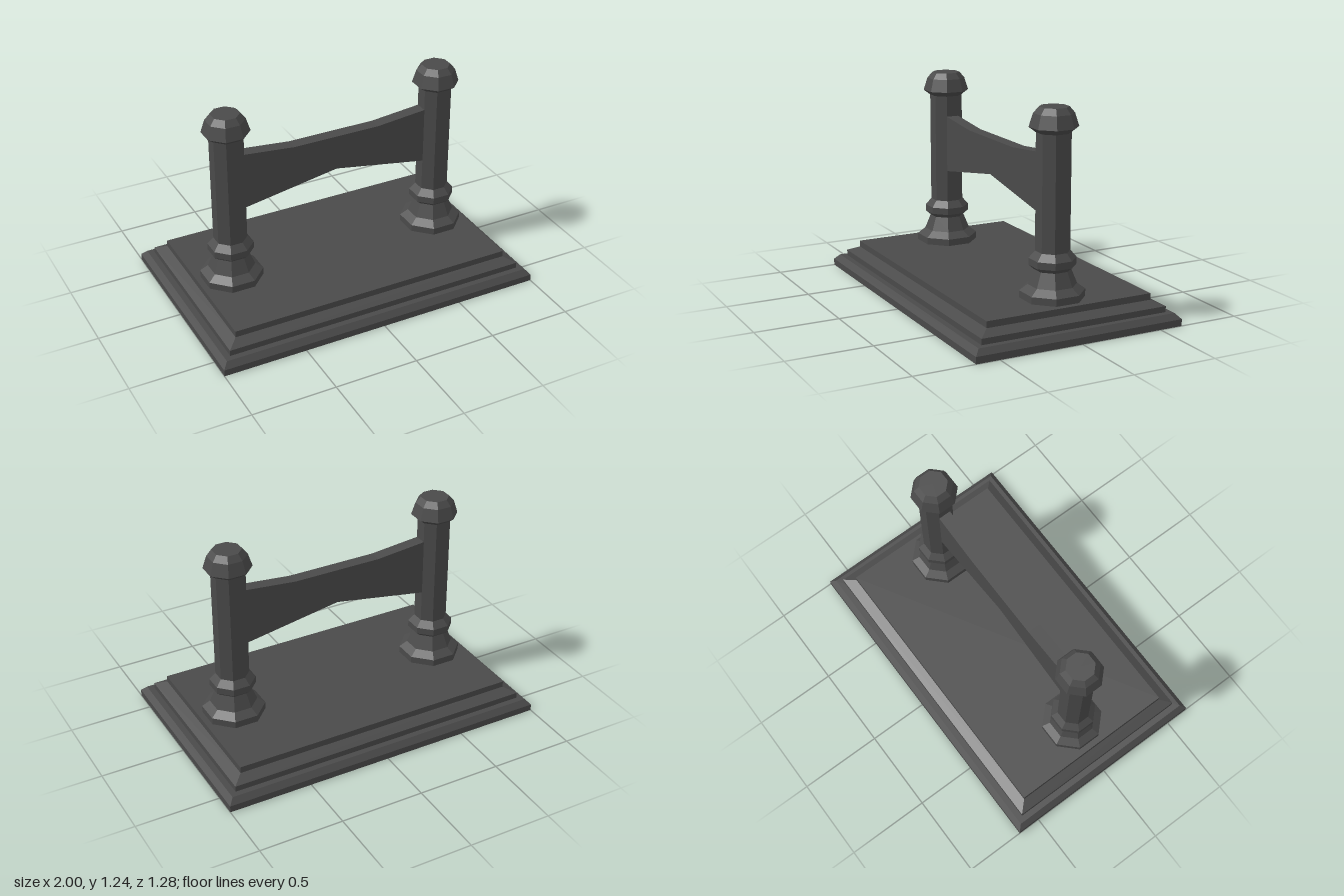
import * as THREE from 'three';

const iron = new THREE.MeshStandardMaterial({ color: 0x4a4a4a });
iron.name = 'dark iron grey';

// Mesh with one hard normal per face
function faceted(name, geometry) {
  const flat = geometry.index ? geometry.toNonIndexed() : geometry;
  flat.computeVertexNormals();
  const mesh = new THREE.Mesh(flat, iron);
  mesh.name = name;
  return mesh;
}

// Octagonal turning; profile holds [half width across flats, y]
function octagonal(name, profile) {
  const k = 1 / Math.cos(Math.PI / 8);
  const points = profile.map(([r, y]) => new THREE.Vector2(r * k, y));
  return faceted(name, new THREE.LatheGeometry(points, 8, Math.PI / 8));
}

// Rectangular slab whose top edge is drawn in by inset on every side
function slab(name, halfX, halfZ, y0, y1, inset = 0) {
  const geometry = new THREE.BoxGeometry(halfX * 2, y1 - y0, halfZ * 2);
  const pos = geometry.attributes.position;
  for (let i = 0; i < pos.count; i++) {
    if (pos.getY(i) < 0) continue;
    pos.setX(i, pos.getX(i) - Math.sign(pos.getX(i)) * inset);
    pos.setZ(i, pos.getZ(i) - Math.sign(pos.getZ(i)) * inset);
  }
  geometry.translate(0, (y0 + y1) / 2, 0);
  return faceted(name, geometry);
}

function createPost(name, x) {
  const post = new THREE.Group();
  post.name = name;
  post.add(
    octagonal('foot', [[0.17, 0.17], [0.17, 0.215], [0.127, 0.25], [0.095, 0.335]]),
    octagonal('collar', [[0.095, 0.335], [0.123, 0.36], [0.123, 0.4], [0.09, 0.44]]),
    octagonal('shaft', [[0.09, 0.44], [0.09, 1.1]]),
    octagonal('cap', [[0.09, 1.1], [0.127, 1.13], [0.105, 1.205], [0.077, 1.24], [0, 1.24]])
  );
  post.position.x = x;
  return post;
}

export function createModel() {
  const model = new THREE.Group();
  model.name = 'postStand';

  // Stepped plinth
  model.add(
    slab('plinthLower', 1, 0.64, 0, 0.04),
    slab('plinthLowerBevel', 1, 0.64, 0.04, 0.072, 0.03),
    slab('plinthMiddle', 0.935, 0.575, 0.072, 0.107),
    slab('plinthMiddleBevel', 0.935, 0.575, 0.107, 0.136, 0.062),
    slab('plinthTop', 0.873, 0.513, 0.136, 0.174)
  );

  // Matching posts
  model.add(createPost('leftPost', 0.668), createPost('rightPost', -0.668));

  // Crossbar, waisted towards the middle
  const outline = [
    [-0.58, 0.633], [0, 0.733], [0.58, 0.633],
    [0.58, 0.976], [0.27, 0.945], [-0.27, 0.945], [-0.58, 0.976],
  ].map(([x, y]) => new THREE.Vector2(x, y));
  const bar = new THREE.ExtrudeGeometry(new THREE.Shape(outline), { depth: 0.076, bevelEnabled: false });
  bar.translate(0, 0, -0.038);
  model.add(faceted('crossbar', bar));

  return model;
}
